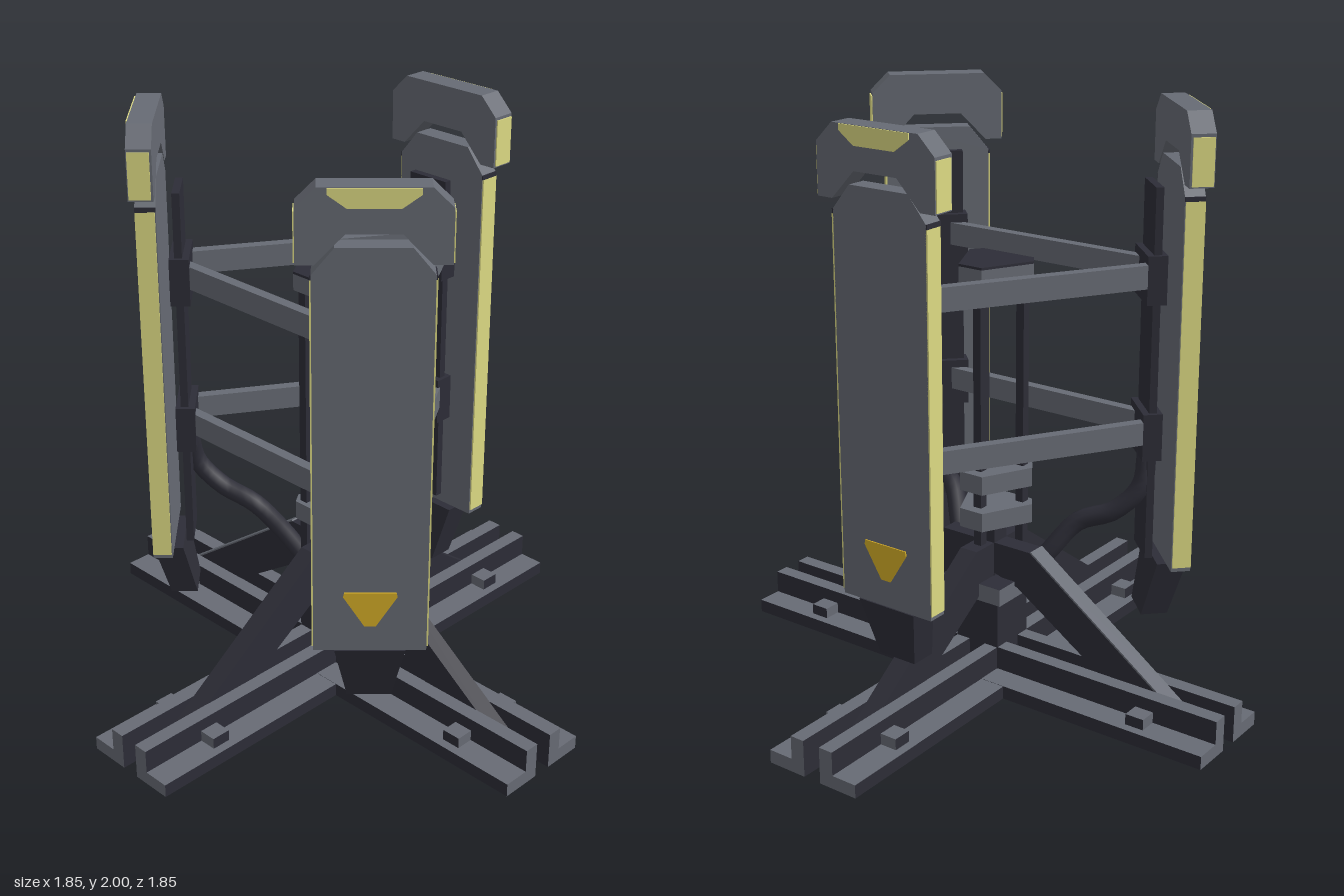
import * as THREE from 'three';

const mat = (name, color) => {
  const m = new THREE.MeshStandardMaterial({ color });
  m.name = name;
  return m;
};

export function createModel() {
  const root = new THREE.Group();
  root.name = 'tripleTower';
  const grey = mat('steelGrey', 0x676b74);
  const dark = mat('darkMetal', 0x2d2d37);
  const yellow = mat('paleYellow', 0xdedb84);
  const amber = mat('amber', 0xd6ae28);

  const add = (parent, name, geo, material) => {
    const m = new THREE.Mesh(geo, material);
    m.name = name;
    parent.add(m);
    return m;
  };
  // Box given by its minimum and maximum on each axis
  const box = (parent, name, [x0, x1], [y0, y1], [z0, z1], material) =>
    add(parent, name, new THREE.BoxGeometry(x1 - x0, y1 - y0, z1 - z0)
      .translate((x0 + x1) / 2, (y0 + y1) / 2, (z0 + z1) / 2), material);
  const extrude = (pts, depth) => new THREE.ExtrudeGeometry(
    new THREE.Shape(pts.map(p => new THREE.Vector2(...p))), { depth, bevelEnabled: false });
  // Symmetric plate in the width/height plane, from x0 to x1 along the outward axis
  const plate = (parent, name, half, x0, x1, material) => {
    const pts = [...half, ...half.map(([w, y]) => [-w, y]).reverse()];
    return add(parent, name, extrude(pts, x1 - x0).rotateY(Math.PI / 2).translate(x0, 0, 0), material);
  };

  // Base: crossed pairs of L-section rails, grey on top and at the ends
  const railMats = [grey, grey, grey, dark, dark, dark];
  for (const turn of [0, 1]) {
    const cross = new THREE.Group();
    cross.name = turn ? 'crossRailsDeep' : 'crossRailsWide';
    cross.rotation.y = turn * Math.PI / 2;
    root.add(cross);
    for (const s of [-1, 1]) {
      const span = (a, b) => s > 0 ? [a, b] : [-b, -a];
      const lift = turn * 0.001;
      box(cross, 'railWeb', [-0.927, 0.927], [0.05, 0.175 + lift], span(0.032, 0.083), railMats);
      box(cross, 'railFlange', [-0.927, 0.927], [0.05, 0.095 + lift], span(0.083, 0.173), railMats);
      for (const x of [-0.665, 0.665])
        box(cross, 'railClip', [x - 0.033, x + 0.033], [0.095, 0.133], span(0.083, 0.143), railMats);
    }
  }

  // Diagonal legs meeting at the hub
  for (let i = 0; i < 4; i++) {
    const k = (i % 2) * 0.05;
    const leg = extrude([[0, 0.43], [0.08 + k, 0.39], [0.67 + k, 0.0], [0.73 + k, 0.1],
      [0.13 + k, 0.53], [0, 0.53]], 0.066).translate(0, 0, -0.033);
    add(root, 'diagonalLeg', leg, dark).rotation.y = i * Math.PI / 2;
  }
  // Grey cover on the back leg
  const run = new THREE.Vector2(0.6, -0.43);
  const cover = add(root, 'legCover', new THREE.BoxGeometry(run.length(), 0.006, 0.066), grey);
  cover.geometry.rotateZ(run.angle()).translate(0.48, 0.317, 0).rotateY(Math.PI / 2);

  // Hub post and collar
  box(root, 'hubPost', [-0.085, 0.085], [0.05, 0.35], [-0.085, 0.085], dark);
  box(root, 'hubCollar', [-0.118, 0.118], [0.35, 0.41], [-0.118, 0.118],
    [grey, grey, dark, dark, grey, grey]);

  // Central column: three rods with clipped-triangle plates
  const tri = [[0.117, -0.045], [0.117, 0.045], [-0.05, 0.128], [-0.09, 0.1], [-0.09, -0.1], [-0.05, -0.128]];
  const triPlate = (name, y0, y1, material) =>
    add(root, name, extrude(tri, y1 - y0).rotateX(-Math.PI / 2).translate(0, y0, 0), material);
  triPlate('lowerColumnPlate', 0.6, 0.665, grey);
  triPlate('middleColumnPlate', 0.73, 0.795, grey);
  triPlate('topColumnPlate', 1.435, 1.49, grey);
  triPlate('topColumnCover', 1.49, 1.498, dark);
  for (const [x, z] of [[0.067, 0], [-0.058, 0.08], [-0.058, -0.08]])
    box(root, 'columnRod', [x - 0.015, x + 0.015], [0.45, 1.435], [z - 0.015, z + 0.015], dark);
  box(root, 'columnFoot', [-0.035, 0.035], [0.41, 0.6], [-0.035, 0.035], dark);

  // Panel tower: local x points outward, z runs along the width
  const tower = (x, z, angle, railLow, railHigh) => {
    const g = new THREE.Group();
    g.name = 'panelTower';
    g.position.set(x, 0, z);
    g.rotation.y = angle;
    root.add(g);
    plate(g, 'panel', [[0.175, 0.49], [0.175, 1.74], [0.11, 1.82]], -0.035, 0.03, grey);
    plate(g, 'panelCap', [[0.08, 1.865], [0.165, 1.775], [0.22, 1.775], [0.22, 1.94], [0.16, 2.0]],
      -0.035, 0.043, grey);
    plate(g, 'capPatch', [[0.075, 1.94], [0.13, 1.98], [0.13, 1.999]], 0.043, 0.047, yellow);
    plate(g, 'warningMark', [[0.018, 0.58], [0.083, 0.685], [0.08, 0.7]], 0.03, 0.034, amber);
    for (const s of [-1, 1]) {
      const at = w => [s * w - 0.003, s * w + 0.003];
      box(g, 'edgeStrip', [-0.032, 0.03], [0.505, 1.725], at(0.177), yellow);
      box(g, 'edgeStripEnd', [-0.035, 0.03], [1.725, 1.74], at(0.176), dark);
      box(g, 'capStrip', [-0.028, 0.04], [1.78, 1.93], at(0.221), yellow);
    }
    // Tapered foot below the panel
    const foot = new THREE.BoxGeometry(1, 0.2, 1);
    const p = foot.attributes.position;
    for (let i = 0; i < p.count; i++) {
      const top = p.getY(i) > 0;
      p.setX(i, top ? -0.015 + p.getX(i) * 0.1 : -0.06 + p.getX(i) * 0.09);
      p.setZ(i, p.getZ(i) * (top ? 0.22 : 0.14));
    }
    foot.translate(0, 0.39, 0).computeVertexNormals();
    add(g, 'panelFoot', foot, dark);
    // Inner rail with two brackets
    box(g, 'innerRail', [-0.1, -0.075], [railLow, railHigh], [-0.077, 0.077], dark);
    for (const y of [0.93, 1.455])
      box(g, 'railBracket', [-0.122, -0.058], [y - 0.08, y + 0.08], [-0.09, 0.09], dark);
  };
  tower(0.525, 0, 0, 0.55, 1.71);
  for (const s of [-1, 1]) tower(-0.34, s * 0.487, -s * Math.PI * 0.75, 0.5, 1.75);

  // Horizontal beams joining the towers
  const beam = (a, b, y) => {
    const dx = b[0] - a[0], dz = b[1] - a[1];
    const m = add(root, 'crossBeam', new THREE.BoxGeometry(Math.hypot(dx, dz), 0.077, 0.036), grey);
    m.position.set((a[0] + b[0]) / 2, y, (a[1] + b[1]) / 2);
    m.rotation.y = -Math.atan2(dz, dx);
  };
  for (const y of [0.945, 1.468]) {
    beam([-0.293, -0.42], [-0.293, 0.42], y);
    for (const s of [-1, 1]) beam([0.42, s * 0.065], [-0.225, s * 0.465], y);
  }

  // Hoses from the rear towers to the hub
  for (const s of [-1, 1]) {
    const path = new THREE.CatmullRomCurve3([[-0.26, 0.86, 0.44], [-0.23, 0.75, 0.44], [-0.18, 0.66, 0.37],
      [-0.13, 0.61, 0.26], [-0.07, 0.51, 0.19], [-0.03, 0.42, 0.13]]
      .map(([x, y, z]) => new THREE.Vector3(x, y, s * z)));
    add(root, 'hose', new THREE.TubeGeometry(path, 20, 0.034, 8), dark);
  }
  return root;
}
